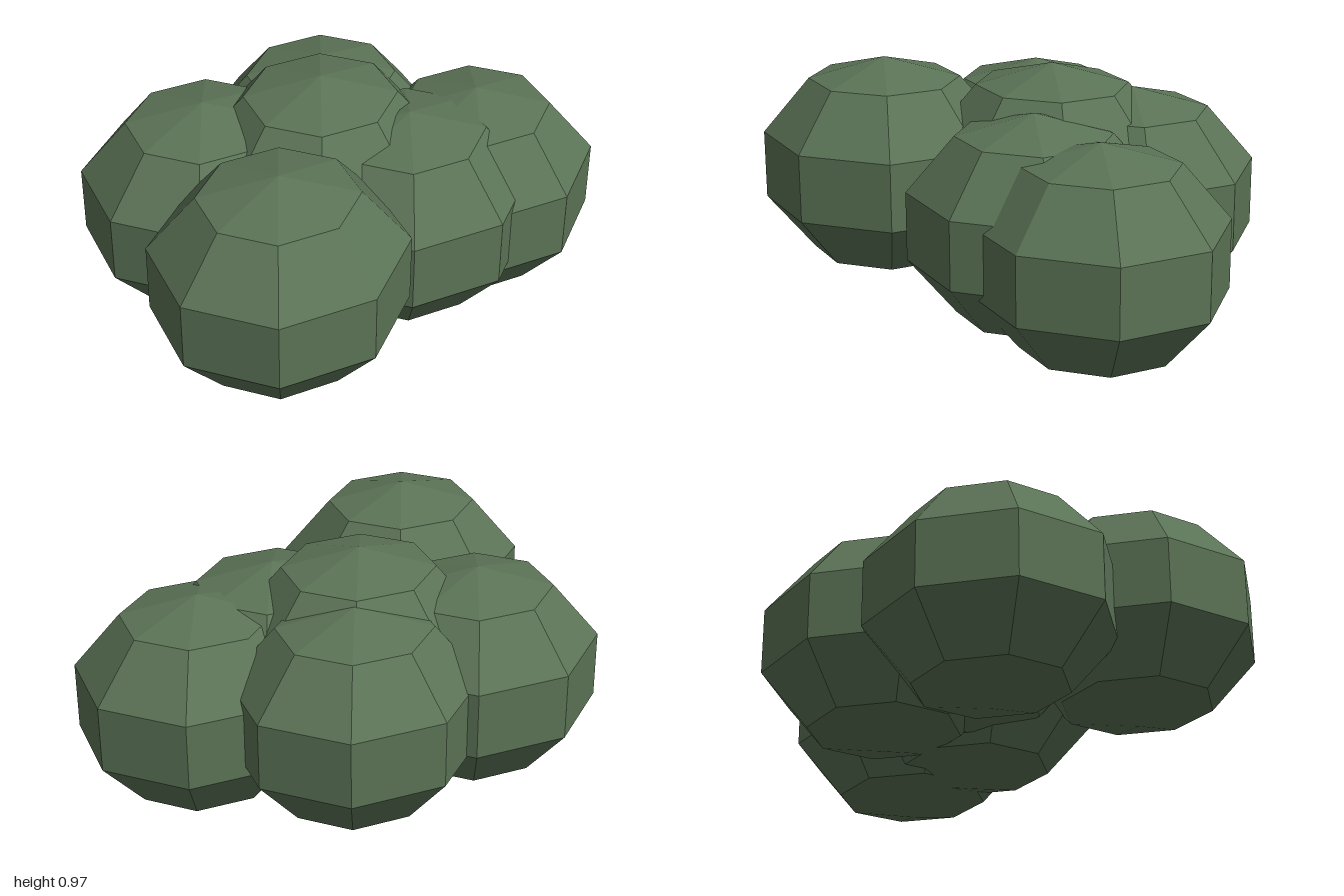
import * as THREE from 'three';

// Low-poly bush: six equal, slightly flattened faceted clumps that overlap.
export function createModel() {
  const bush = new THREE.Group();
  bush.name = 'bush';

  const foliage = new THREE.MeshStandardMaterial({ color: 0x5b7356, flatShading: true });

  // One shared clump: eight sides, five bands, wider than tall
  const clump = new THREE.SphereGeometry(1, 8, 5).scale(0.497, 0.415, 0.473);

  const clumps = [
    ['centreClump', 0.03, 0.555, -0.025],
    ['frontRightClump', -0.527, 0.55, 0.295],
    ['frontMiddleClump', 0.19, 0.452, 0.27],
    ['frontLeftClump', 0.525, 0.418, 0.312],
    ['backRightClump', -0.295, 0.465, -0.317],
    ['backLeftClump', 0.25, 0.46, -0.226],
  ];

  for (const [name, x, y, z] of clumps) {
    const mesh = new THREE.Mesh(clump, foliage);
    mesh.name = name;
    mesh.position.set(x, y, z);
    bush.add(mesh);
  }
  return bush;
}
